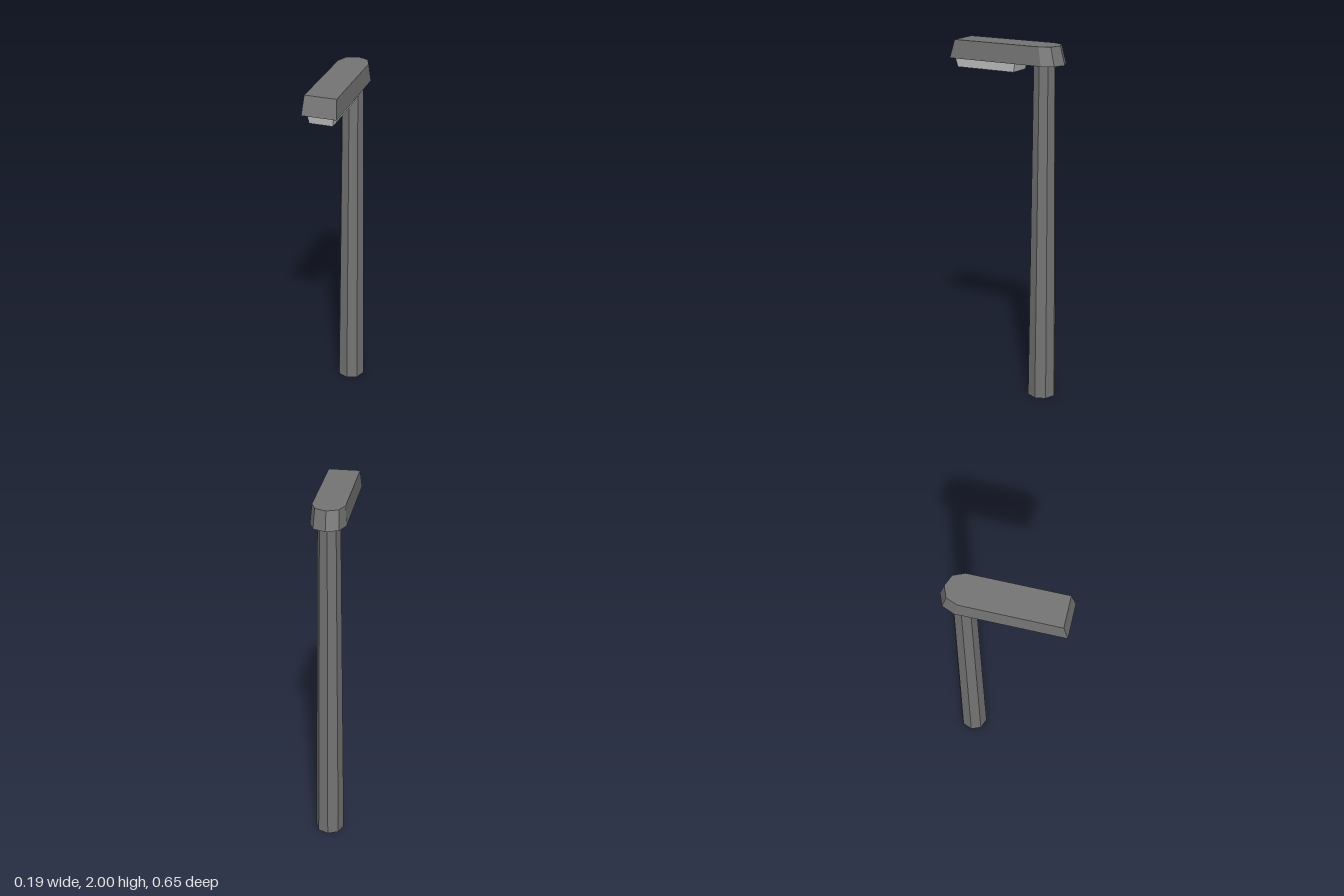
import * as THREE from 'three';

const dark = new THREE.MeshStandardMaterial({ color: 0x747474, flatShading: true });
const pale = new THREE.MeshStandardMaterial({ color: 0xcccccc, flatShading: true });

// Closed solid between two convex outlines of [x, z], counter-clockwise from above
function loft(lower, y0, upper, y1) {
  const b = lower.map(([x, z]) => [x, y0, z]);
  const t = upper.map(([x, z]) => [x, y1, z]);
  const n = b.length, pos = [];
  const tri = (...corners) => corners.forEach((c) => pos.push(...c));
  for (let i = 0; i < n; i++) {
    const j = (i + 1) % n;
    tri(b[i], b[j], t[j]);
    tri(b[i], t[j], t[i]);
  }
  for (let i = 1; i < n - 1; i++) {
    tri(t[0], t[i], t[i + 1]);
    tri(b[0], b[i + 1], b[i]);
  }
  const geometry = new THREE.BufferGeometry();
  geometry.setAttribute('position', new THREE.Float32BufferAttribute(pos, 3));
  geometry.computeVertexNormals();
  return geometry;
}

// Mirrors the +x half of an outline; points on x = 0 are kept once
function mirrored(half) {
  const other = half.filter(([x]) => x > 0).reverse().map(([x, z]) => [-x, z]);
  return [...half, ...other];
}

export function createModel() {
  const model = new THREE.Group();
  model.name = 'streetLamp';
  const add = (name, geometry, material) => {
    const mesh = new THREE.Mesh(geometry, material);
    mesh.name = name;
    model.add(mesh);
    return mesh;
  };

  // Tapered eight-sided hollow pole
  const hollow = dark.clone();
  hollow.side = THREE.DoubleSide;
  const pole = add('pole', new THREE.CylinderGeometry(0.06, 0.081, 1.9, 8, 1, true), hollow);
  pole.position.set(0, 0.95, -0.208);

  // Lamp head, square at the front and faceted round at the back
  const headLower = mirrored([[0.093, 0.326], [0.093, -0.235], [0.066, -0.3], [0, -0.327]]);
  const headUpper = mirrored([[0.085, 0.299], [0.085, -0.216], [0.06, -0.276], [0, -0.3]]);
  add('lampHead', loft(headLower, 1.9, headUpper, 2), dark);

  // Light panel under the head
  const panelLower = mirrored([[0.063, 0.294], [0.063, -0.055]]);
  const panelUpper = mirrored([[0.07, 0.306], [0.07, -0.067]]);
  add('lightPanel', loft(panelLower, 1.85, panelUpper, 1.9), pale);

  return model;
}
